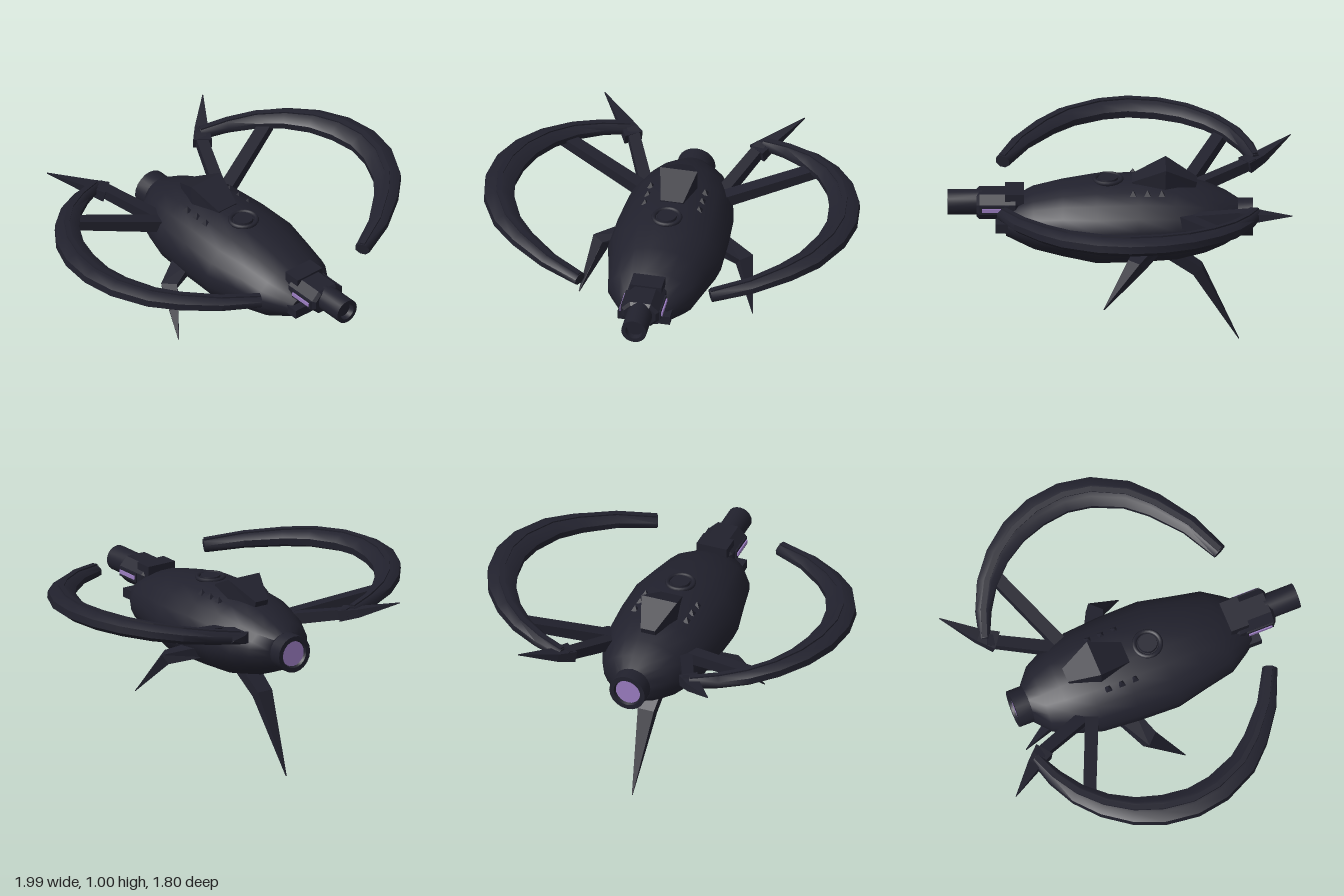
import * as THREE from 'three';
import { toCreasedNormals } from 'three/addons/utils/BufferGeometryUtils.js';

const hull = new THREE.MeshStandardMaterial({ color: 0x21212d });
hull.name = 'dark hull';
const glow = new THREE.MeshStandardMaterial({ color: 0x9a7cc0 });
glow.name = 'purple glow';

// Sweeps an elliptical (or boxy, with 4 sides) section along stations [x, y, z, halfWidth, halfHeight].
// s = -1 mirrors the part to the other side.
function sweep(stations, sides, { s = 1, up = [0, 1, 0], crease = 0.9 } = {}) {
  const P = stations.map(([x, y, z]) => new THREE.Vector3(x * s, y, z));
  const U = new THREE.Vector3(up[0] * s, up[1], up[2]);
  const k = sides === 4 ? Math.SQRT2 : 1;
  const pos = [], idx = [];
  const n = P.length;
  P.forEach((p, j) => {
    const T = P[Math.min(j + 1, n - 1)].clone().sub(P[Math.max(j - 1, 0)]).normalize();
    const R = T.clone().cross(U).normalize();
    const V = R.clone().cross(T);
    const [, , , w, h] = stations[j];
    for (let i = 0; i < sides; i++) {
      const a = ((i + 0.5) / sides) * Math.PI * 2;
      const q = p.clone().addScaledVector(R, Math.cos(a) * w * k).addScaledVector(V, Math.sin(a) * h * k);
      pos.push(q.x, q.y, q.z);
    }
  });
  for (let j = 0; j < n - 1; j++) {
    for (let i = 0; i < sides; i++) {
      const a = j * sides + i, b = j * sides + ((i + 1) % sides);
      idx.push(a, a + sides, b, b, a + sides, b + sides);
    }
  }
  const last = (n - 1) * sides;
  for (let i = 1; i < sides - 1; i++) idx.push(0, i, i + 1, last, last + i + 1, last + i);
  const g = new THREE.BufferGeometry();
  g.setAttribute('position', new THREE.Float32BufferAttribute(pos, 3));
  g.setIndex(idx);
  return toCreasedNormals(g, crease);
}

export function createModel() {
  const model = new THREE.Group();
  const add = (name, geometry, material = hull, x = 0, y = 0, z = 0) => {
    const m = new THREE.Mesh(geometry, material);
    m.name = name;
    m.position.set(x, y, z);
    model.add(m);
    return m;
  };
  const box = (name, w, h, d, x, y, z, mat = hull) =>
    add(name, new THREE.BoxGeometry(w, h, d), mat, x, y, z);
  const lathe = (pts, r) =>
    toCreasedNormals(new THREE.LatheGeometry(pts.map(p => new THREE.Vector2(...p)), 20).rotateX(r), 0.6);

  // Pod-shaped body
  add('body', sweep([
    [0, 0.7, -0.62, 0.105, 0.1],
    [0, 0.7, -0.55, 0.19, 0.135],
    [0, 0.7, -0.45, 0.24, 0.175],
    [0, 0.7, -0.3, 0.285, 0.21],
    [0, 0.7, -0.1, 0.3, 0.222],
    [0, 0.695, 0.12, 0.305, 0.222],
    [0, 0.7, 0.3, 0.265, 0.19],
    [0, 0.7, 0.45, 0.235, 0.152],
    [0, 0.695, 0.55, 0.17, 0.105],
    [0, 0.69, 0.6, 0.13, 0.078],
  ], 20));

  // Rear engine with a glowing exhaust
  add('engineNozzle', lathe([[0.1, 0.58], [0.1, 0.7], [0.075, 0.7], [0.066, 0.68]], -Math.PI / 2), hull, 0, 0.7, 0);
  add('engineGlow', new THREE.CircleGeometry(0.07, 20).rotateY(Math.PI), glow, 0, 0.7, -0.686);

  // Sensor head on the nose
  const c = 0.035, w = 0.085, h = 0.055;
  const face = new THREE.Shape([
    [-w, -h + c], [-w + c, -h], [w - c, -h], [w, -h + c], [w, h - c], [w - c, h], [-w + c, h], [-w, h - c],
  ].map(p => new THREE.Vector2(...p)));
  add('sensorHead', new THREE.ExtrudeGeometry(face, {
    depth: 0.19, bevelEnabled: true, bevelSize: 0.015, bevelThickness: 0.015, bevelSegments: 1,
  }), hull, 0, 0.785, 0.545);
  box('headCollar', 0.17, 0.14, 0.1, 0, 0.795, 0.55);
  box('chinPlate', 0.28, 0.05, 0.17, 0, 0.695, 0.565);
  add('barrel', lathe([[0.067, 0.72], [0.067, 0.9], [0.045, 0.9], [0.042, 0.87], [0, 0.87]], Math.PI / 2), hull, 0, 0.79, 0);

  // Canopy fin and hatch on the back
  add('canopyFin', sweep([
    [0, 0.89, -0.4, 0.04, 0.025],
    [0, 0.93, -0.24, 0.1, 0.075],
    [0, 0.9, -0.07, 0.06, 0.025],
  ], 4, { crease: 0.01 }));
  add('hatchRing', new THREE.TorusGeometry(0.07, 0.012, 6, 24).rotateX(Math.PI / 2), hull, 0, 0.918, 0.06);
  add('hatchLid', new THREE.CylinderGeometry(0.05, 0.055, 0.03, 20), hull, 0, 0.915, 0.06);

  // Tail stinger
  add('tailLeg', sweep([
    [0, 0.54, -0.22, 0.055, 0.03],
    [0, 0.405, -0.41, 0.045, 0.03],
    [0, 0.005, -0.625, 0.002, 0.002],
  ], 4, { crease: 0.01 }));

  // Ring arm centre line in plan: [x, z, halfWidth, halfHeight]
  const arc = [
    [0.35, 0.61, 0.042, 0.034], [0.54, 0.515, 0.055, 0.04], [0.705, 0.385, 0.068, 0.045],
    [0.81, 0.27, 0.078, 0.048], [0.89, 0.1, 0.085, 0.05], [0.915, -0.05, 0.086, 0.05],
    [0.895, -0.21, 0.086, 0.05], [0.84, -0.355, 0.078, 0.048], [0.75, -0.485, 0.068, 0.046],
    [0.635, -0.59, 0.058, 0.043], [0.5, -0.665, 0.046, 0.038], [0.36, -0.715, 0.03, 0.034],
  ];
  const armY = x => 0.866 + (x - 0.35) * 0.115;

  for (const s of [1, -1]) {
    const side = s > 0 ? 'left' : 'right';
    const tilt = { s, up: [-0.115, 1, 0] };

    // Curved arm with a thin raised rail on top
    add(side + 'RingArm', sweep(arc.map(([x, z, a, b]) => [x, armY(x), z, a, b]), 8, tilt));
    add(side + 'ArmRail', sweep(arc.map(([x, z, , b]) => [x, armY(x) + b + 0.003, z, 0.014, 0.004]), 4,
      { ...tilt, crease: 0.01 }));

    // Struts joining the arm to the body
    add(side + 'OuterStrut', sweep([[0.2, 0.765, -0.335, 0.035, 0.032], [0.67, 0.88, -0.54, 0.034, 0.026]], 4,
      { s, crease: 0.01 }));
    add(side + 'InnerStrut', sweep([[0.21, 0.775, -0.39, 0.033, 0.03], [0.35, 0.865, -0.71, 0.03, 0.026]], 4,
      { s, crease: 0.01 }));
    add(side + 'ArmSpike', sweep([
      [0.33, 0.85, -0.66, 0.05, 0.03], [0.39, 0.87, -0.74, 0.035, 0.022], [0.535, 0.935, -0.9, 0.002, 0.002],
    ], 4, { s, crease: 0.01 }));

    // Bent side leg
    add(side + 'Leg', sweep([
      [0.22, 0.625, -0.16, 0.055, 0.03], [0.385, 0.59, -0.085, 0.042, 0.03], [0.465, 0.372, 0.085, 0.002, 0.002],
    ], 4, { s, crease: 0.01 }));

    // Head side rail and light strip
    box(side + 'HeadRail', 0.016, 0.05, 0.15, s * 0.1, 0.785, 0.655);
    box(side + 'HeadLight', 0.008, 0.02, 0.13, s * 0.111, 0.785, 0.655, glow);

    // Small studs along the back
    for (const z of [-0.22, -0.145, -0.07]) {
      add(side + 'Stud', toCreasedNormals(new THREE.ConeGeometry(0.024, 0.03, 4).rotateY(Math.PI / 4), 0.01),
        hull, s * 0.145, 0.9, z);
    }
  }
  return model;
}
